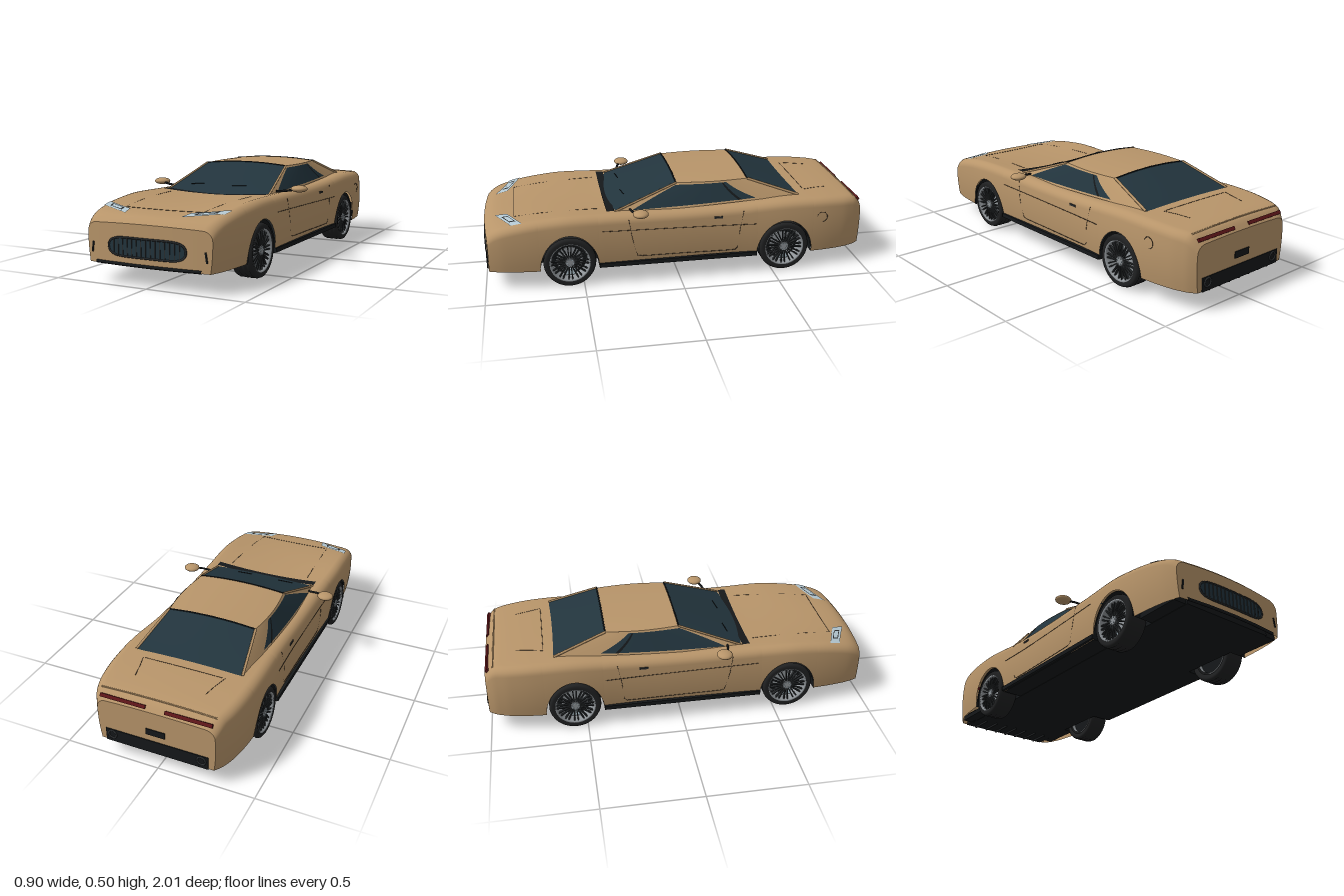
import * as THREE from 'three';

const mat = (color) => new THREE.MeshStandardMaterial({ color, side: THREE.DoubleSide });
const paint = mat(0xb8956a), glass = mat(0x22343d), black = mat(0x15181a), rubber = mat(0x202122);
const metal = mat(0x8f9498), lamp = mat(0xb4c8d2), red = mat(0x5c1518), trim = mat(0x2a2d2f), seamMat = mat(0x3a2f24);
const lerp = THREE.MathUtils.lerp, V = (x, y, z) => new THREE.Vector3(x, y, z);

function add(parent, name, geometry, material, x = 0, y = 0, z = 0) {
  const mesh = new THREE.Mesh(geometry, material);
  mesh.name = name;
  mesh.position.set(x, y, z);
  parent.add(mesh);
  return mesh;
}
const box = (g, name, w, h, d, m, x, y, z) => add(g, name, new THREE.BoxGeometry(w, h, d), m, x, y, z);
const tube = (g, name, pts, r, m, closed = false) =>
  add(g, name, new THREE.TubeGeometry(new THREE.CatmullRomCurve3(pts, closed, 'catmullrom', 0.1), pts.length * 6, r, 6, closed), m);

// Surface patch: f(u, v) returns a point for u, v in 0..1
function grid(nu, nv, f) {
  const pos = [], idx = [];
  for (let i = 0; i <= nu; i++) for (let j = 0; j <= nv; j++) {
    pos.push(...f(i / nu, j / nv).toArray());
    if (i < nu && j < nv) {
      const a = i * (nv + 1) + j, b = a + nv + 1;
      idx.push(a, b, b + 1, a, b + 1, a + 1);
    }
  }
  const g = new THREE.BufferGeometry();
  g.setAttribute('position', new THREE.Float32BufferAttribute(pos, 3));
  g.setIndex(idx);
  g.computeVertexNormals();
  return g;
}

// Body stations: z, half width, shoulder height, centre height
const stations = [
  [0.975, 0.332, 0.285, 0.292], [0.95, 0.342, 0.308, 0.318], [0.9, 0.356, 0.33, 0.332], [0.8, 0.37, 0.352, 0.342],
  [0.7, 0.378, 0.365, 0.348], [0.57, 0.384, 0.374, 0.352], [0.36, 0.378, 0.372, 0.356], [0, 0.373, 0.368, 0.37],
  [-0.3, 0.373, 0.374, 0.378], [-0.56, 0.385, 0.39, 0.393], [-0.75, 0.38, 0.388, 0.392], [-0.88, 0.362, 0.38, 0.385],
  [-0.95, 0.34, 0.372, 0.376], [-0.97, 0.33, 0.36, 0.367], [-1, 0.308, 0.325, 0.33]];
function station(z, k) {
  let i = 0;
  while (i < stations.length - 2 && z < stations[i + 1][0]) i++;
  const slope = (n) => {
    const a = stations[Math.max(n - 1, 0)], b = stations[Math.min(n + 1, stations.length - 1)];
    return (b[k] - a[k]) / (b[0] - a[0]);
  };
  const a = stations[i], b = stations[i + 1], h = b[0] - a[0], t = (z - a[0]) / h;
  return a[k] * (1 + 2 * t) * (1 - t) ** 2 + h * slope(i) * t * (1 - t) ** 2
    + b[k] * t * t * (3 - 2 * t) + h * slope(i + 1) * t * t * (t - 1);
}
const AXLES = [0.57, -0.56], ARCH = 0.15, FLOOR = 0.095, CORNER = 0.045;
const sideX = (y, z) => station(z, 1) - 0.6 * (y - 0.23) ** 2;
const bow = (x, z) => z + 0.02 * THREE.MathUtils.clamp((z - 0.85) / 0.125, 0, 1) * (1 - (x / 0.34) ** 2);
function sillY(z) {
  for (const c of AXLES) {
    const d = Math.abs(z - c) / ARCH;
    if (d < 1) return FLOOR + 0.19 * Math.sqrt(1 - d * d);
  }
  return FLOOR;
}
function topY(x, z) {
  const yt = station(z, 2), yc = station(z, 3), edge = sideX(yt - CORNER, z) - 0.05;
  x = Math.abs(x);
  if (x < edge) return yc + (yt - yc) * (x / edge) ** 2;
  return yt - CORNER + CORNER * Math.sqrt(Math.max(0, 1 - ((x - edge) / 0.05) ** 2));
}
// Half cross-section from the sill up to the centre line
function section(z) {
  const pts = [], yb = sillY(z), ys = station(z, 2) - CORNER, sx = sideX(ys, z);
  for (let i = 0; i < 6; i++) { const y = lerp(yb, ys, i / 6); pts.push([sideX(y, z), y]); }
  for (let i = 0; i < 6; i++) { const x = sx - 0.05 * (1 - Math.cos(i / 6 * Math.PI / 2)); pts.push([x, topY(x, z)]); }
  for (let i = 0; i <= 8; i++) { const x = (sx - 0.05) * (1 - i / 8); pts.push([x, topY(x, z)]); }
  return pts;
}

function buildBody(g) {
  const zs = [];
  for (const [a, b, n] of [[0.975, 0.721, 16], [0.419, -0.409, 24], [-0.711, -1, 20]])
    for (let i = 0; i <= n; i++) zs.push(lerp(a, b, i / n));
  for (const c of AXLES) for (let i = 0; i <= 28; i++) zs.push(c + ARCH * Math.cos(i / 28 * Math.PI));
  zs.sort((a, b) => b - a);
  const rows = zs.map(section), n = rows[0].length - 1;
  add(g, 'bodyShell', grid(zs.length - 1, 2 * n, (u, v) => {
    const i = Math.round(u * (zs.length - 1)), j = Math.round(v * 2 * n), s = j > n ? -1 : 1;
    const [x, y] = rows[i][j > n ? 2 * n - j : j];
    return V(s * x, y, bow(x, zs[i]));
  }), paint);
  for (const [name, i, s] of [['frontFace', 0, 1], ['rearFace', zs.length - 1, -1]])
    add(g, name, grid(16, n, (u, v) => {
      const [px, y] = rows[i][Math.round(v * n)], x = s * (2 * u - 1) * px;
      return V(x, y, bow(x, zs[i]));
    }), paint);
  // Underside
  box(g, 'floor', 0.52, 0.03, 1.92, black, 0, 0.107, 0);
  for (const [w, a, b] of [[0.66, 0.72, 0.95], [0.73, -0.41, 0.42], [0.64, -0.95, -0.71]])
    box(g, 'floorPanel', w, 0.026, b - a, black, 0, 0.107, (a + b) / 2);
}

// Cabin surfaces, each with its own crown
const rail = (v) => 0.24 + 0.016 * Math.sin(Math.PI * v);
const crown = (u) => 0.014 * (1 - (2 * u - 1) ** 2);
const windscreen = (u, v) => V((2 * u - 1) * lerp(0.3, 0.24, v), lerp(0.355, 0.483, v) + crown(u) * v, lerp(0.36, 0, v));
const roof = (u, v) => V((2 * u - 1) * rail(v), 0.483 + crown(u), lerp(0, -0.38, v));
const rearScreen = (u, v) => V((2 * u - 1) * lerp(0.24, 0.287, v), lerp(0.483, 0.392, v) + crown(u) * (1 - v), lerp(-0.38, -0.65, v));
const flank = (u, v, off = 0) => V(
  lerp(lerp(0.3, 0.287, u) + 0.02 * Math.sin(Math.PI * u), rail(u), v) + off,
  lerp(lerp(0.355, 0.392, u), 0.483, v), lerp(lerp(0.36, -0.65, u), lerp(0, -0.38, u), v));

function buildCabin(g) {
  add(g, 'windscreen', grid(16, 8, windscreen), glass);
  add(g, 'roof', grid(16, 12, roof), paint);
  add(g, 'rearWindow', grid(16, 8, rearScreen), glass);
  tube(g, 'windscreenHeader', [0, 0.25, 0.5, 0.75, 1].map((u) => windscreen(u, 1)), 0.004, black);
  tube(g, 'rearHeader', [0, 0.25, 0.5, 0.75, 1].map((u) => rearScreen(u, 0)), 0.004, black);
  add(g, 'cowl', grid(16, 2, (u, v) => {
    const x = (2 * u - 1) * 0.3, z = lerp(0.33, 0.37, v);
    return V(x, topY(x, z) + 0.003, z);
  }), black);
  for (const [a, b] of [[0.16, 0.3], [0.6, 0.74]])
    tube(g, 'wiper', [windscreen(a, 0.25), windscreen(b, 0.28)].map((p) => p.add(V(0, 0.004, 0.003))), 0.002, black);
}

function buildNoseAndTail(g) {
  // Radiator grille with upright slats
  const faceZ = (x) => bow(x, 0.975), half = (u) => 0.044 * Math.pow(Math.max(0, 1 - Math.abs(u) ** 7), 0.45);
  const rim = [];
  add(g, 'grille', grid(40, 4, (a, v) => {
    const u = Math.sin((a - 0.5) * Math.PI), x = 0.205 * u;
    return V(x, 0.183 + (2 * v - 1) * half(u), faceZ(x) + 0.003);
  }), glass);
  for (let i = 0; i < 48; i++) {
    const a = i / 48 * 2 * Math.PI, u = Math.cos(a), x = 0.205 * u;
    rim.push(V(x, 0.183 + Math.sign(Math.sin(a)) * half(u), faceZ(x) + 0.002));
  }
  tube(g, 'grilleRim', rim, 0.005, trim, true);
  for (let i = -7; i <= 7; i++) box(g, 'grilleSlat', 0.005, 0.08, 0.006, trim, i * 0.025, 0.183, faceZ(i * 0.025) + 0.003);
  tube(g, 'frontSplitter', [-0.28, -0.14, 0, 0.14, 0.28].map((x) => V(x, 0.101, faceZ(x))), 0.008, black);
  // Rear bumper insert, fins, plate and lip
  box(g, 'rearDiffuser', 0.54, 0.07, 0.1, black, 0, 0.128, -0.954);
  for (let i = -3; i <= 3; i++) box(g, 'diffuserFin', 0.008, 0.025, 0.13, trim, i * 0.07, 0.096, -0.93);
  box(g, 'plate', 0.1, 0.034, 0.008, black, 0, 0.215, -1);
  tube(g, 'tailLip', [-0.3, -0.15, 0, 0.15, 0.3].map((x) => V(x, topY(x, -0.955), -0.955)), 0.004, paint);
  // Bonnet and boot seams
  const deck = (pts) => tube(g, 'panelSeam', pts.map(([x, z]) => V(x, topY(x, z), bow(x, z))), 0.0014, seamMat);
  deck([-0.21, -0.1, 0, 0.1, 0.21].map((x) => [x, 0.84]));
  deck([-0.21, -0.1, 0, 0.1, 0.21].map((x) => [x, -0.7]));
  for (const s of [-1, 1]) {
    deck([[s * 0.235, 0.4], [s * 0.23, 0.5], [s * 0.22, 0.7], [s * 0.21, 0.84]]);
    deck([[s * 0.22, -0.7], [s * 0.2, -0.77], [s * 0.185, -0.84]]);
  }
}

// Everything that repeats on each flank, made for +x
function buildFlank() {
  const g = new THREE.Group();
  const win = (name, m, u0, u1, w0, w1, v0, v1, off) => add(g, name, grid(12, 6, (u, t) =>
    flank(lerp(lerp(u0, w0, t), lerp(u1, w1, t), u), lerp(v0, v1, t), off)), m);
  add(g, 'cabinSide', grid(16, 6, (u, v) => flank(u, v)), paint);
  win('sideWindow', glass, 0.09, 0.78, 0.05, 0.68, 0.1, 0.93, 0.003);
  win('windowDivider', black, 0.68, 0.7, 0.62, 0.64, 0.1, 0.93, 0.005);
  tube(g, 'frontPillar', [flank(0, 0), flank(0, 0.5), flank(0, 1)], 0.006, paint);
  tube(g, 'rearPillar', [flank(1, 0), flank(1, 0.5), flank(1, 1)], 0.007, paint);
  // Door mirror
  tube(g, 'mirrorArm', [V(0.3, 0.376, 0.25), V(0.355, 0.382, 0.24), V(0.4, 0.388, 0.22)], 0.006, black);
  add(g, 'mirror', new THREE.SphereGeometry(1, 24, 16), paint, 0.409, 0.391, 0.21).scale.set(0.043, 0.018, 0.04);
  // Headlamp following the wing
  const lampAt = (m, name, k, off) => add(g, name, grid(14, 6, (a, b) => {
    const u = lerp(0.5, a, k), v = lerp(0.5, b, k);
    const x = lerp(lerp(0.335, 0.165, u), lerp(0.328, 0.15, u), v), z = lerp(lerp(0.8, 0.87, u), lerp(0.855, 0.925, u), v);
    return V(x, topY(x, z) + off, bow(x, z));
  }), m);
  lampAt(lamp, 'headlamp', 1, 0.004);
  lampAt(trim, 'headlampInner', 0.55, 0.005);
  lampAt(lamp, 'headlampLens', 0.4, 0.006);
  box(g, 'frontVent', 0.008, 0.05, 0.01, black, 0.302, 0.168, 0.978).rotation.z = 0.15;
  const tail = box(g, 'tailLamp', 0.24, 0.018, 0.014, red, 0.17, 0.345, -0.987);
  tail.rotation.x = 0.6;
  add(g, 'exhaust', new THREE.TorusGeometry(0.021, 0.005, 8, 24), trim, 0.235, 0.135, -1.004);
  // Door seams, handle and sill
  const seam = (pts) => tube(g, 'doorSeam', pts.map(([z, y]) => V(sideX(y, z), y, z)), 0.0015, seamMat);
  seam([[0.265, 0.345], [0.25, 0.25], [0.22, 0.145], [0, 0.14], [-0.3, 0.137], [-0.315, 0.25], [-0.335, 0.35]]);
  seam([[0.4, 0.295], [0.2, 0.29], [0, 0.285], [-0.2, 0.28], [-0.4, 0.277]]);
  box(g, 'doorHandle', 0.008, 0.01, 0.045, trim, sideX(0.325, -0.2), 0.325, -0.2);
  box(g, 'sill', 0.03, 0.022, 0.83, black, 0.366, 0.108, 0.005);
  for (const c of AXLES) {
    // Wheel housing and wheel
    add(g, 'wheelHousing', grid(20, 1, (u, v) => V(lerp(0.25, 0.374, v), FLOOR + 0.188 * Math.sin(u * Math.PI),
      c + 0.149 * Math.cos(u * Math.PI))), black);
    add(g, 'housingWall', grid(20, 1, (u, v) => V(0.252, FLOOR + v * 0.188 * Math.sin(u * Math.PI),
      c + 0.149 * Math.cos(u * Math.PI))), black);
    const w = buildWheel();
    w.position.set(0.323, 0.134, c);
    g.add(w);
  }
  return g;
}

function buildWheel() {
  const wheel = new THREE.Group(), spin = new THREE.Group();
  wheel.name = 'wheel';
  wheel.add(spin);
  spin.rotation.z = -Math.PI / 2; // local y points outboard
  const lathe = (name, pts, m) => add(spin, name, new THREE.LatheGeometry(pts.map((p) => new THREE.Vector2(...p)), 48), m);
  const tread = [[0.1, -0.05], [0.12, -0.056], [0.129, -0.05]];
  for (const y of [-0.027, 0, 0.027]) tread.push([0.134, y - 0.01], [0.13, y - 0.003], [0.13, y + 0.003], [0.134, y + 0.01]);
  lathe('tyre', [...tread, [0.129, 0.05], [0.12, 0.056], [0.102, 0.052]], rubber);
  lathe('rim', [[0.09, -0.05], [0.09, 0.03], [0.098, 0.05], [0.104, 0.054], [0.104, 0.048]], metal);
  add(spin, 'wheelBack', new THREE.CylinderGeometry(0.09, 0.09, 0.01, 32), black, 0, -0.02, 0);
  add(spin, 'brakeDisc', new THREE.CylinderGeometry(0.07, 0.07, 0.008, 32), metal, 0, 0.005, 0);
  box(spin, 'brakeCaliper', 0.03, 0.02, 0.06, lamp, 0.065, 0.012, 0);
  for (let i = 0; i < 12; i++) {
    const arm = new THREE.Group();
    arm.rotation.y = i / 12 * Math.PI * 2;
    spin.add(arm);
    for (const s of [-1, 1]) box(arm, 'spoke', 0.08, 0.012, 0.006, trim, 0.057, 0.04, s * 0.007).rotation.y = -s * 0.07;
    if (i % 2) add(arm, 'wheelBolt', new THREE.CylinderGeometry(0.003, 0.003, 0.006, 6), lamp, 0.017, 0.05, 0);
  }
  add(spin, 'hub', new THREE.CylinderGeometry(0.023, 0.028, 0.018, 24), metal, 0, 0.04, 0);
  return wheel;
}

export function createModel() {
  const car = new THREE.Group();
  car.name = 'car';
  buildBody(car);
  buildCabin(car);
  buildNoseAndTail(car);
  const left = buildFlank(), right = buildFlank();
  left.name = 'leftSide';
  right.name = 'rightSide';
  right.scale.x = -1;
  car.add(left, right);
  // Fuel flap on the left rear wing
  add(car, 'fuelFlap', new THREE.TorusGeometry(0.028, 0.0015, 6, 32), seamMat, sideX(0.29, -0.76), 0.29, -0.76).rotation.y = Math.PI / 2;
  return car;
}
